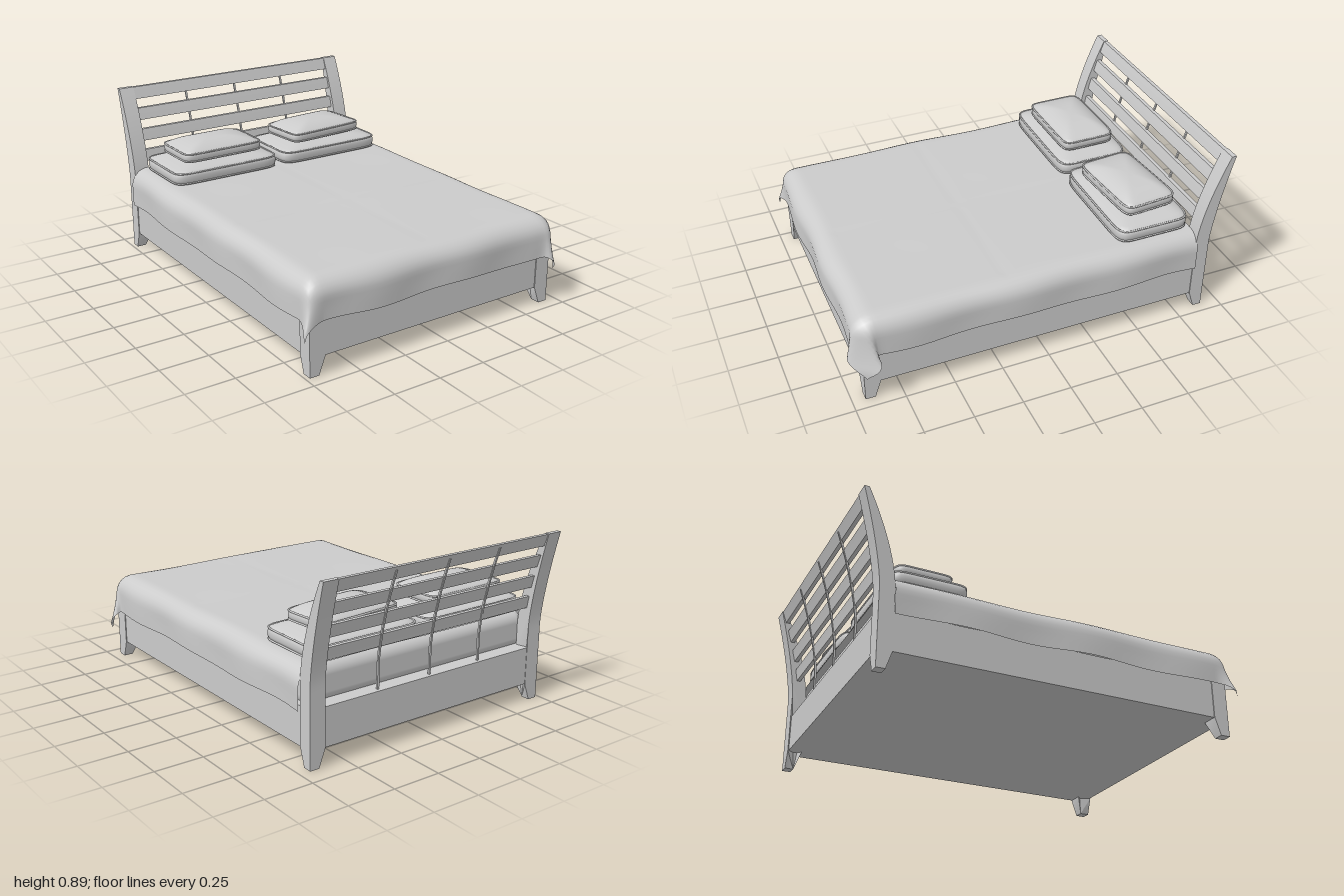
import * as THREE from 'three';
import { mergeVertices, toCreasedNormals } from 'three/addons/utils/BufferGeometryUtils.js';
import { RoundedBoxGeometry } from 'three/addons/geometries/RoundedBoxGeometry.js';

const wood = new THREE.MeshStandardMaterial({ color: 0xcccccc });
const cloth = new THREE.MeshStandardMaterial({ color: 0xcccccc, side: THREE.DoubleSide });
const X0 = -0.73, X1 = 0.695, MID = -0.0175, POST = 0.083;

function add(parent, name, geometry, material) {
  const mesh = new THREE.Mesh(geometry, material);
  mesh.name = name;
  parent.add(mesh);
  return mesh;
}

// Extrudes a [z, y] side profile from xa to xb
function sideExtrude(points, xa, xb) {
  const shape = new THREE.Shape(points.map(([z, y]) => new THREE.Vector2(z, y)));
  const g = new THREE.ExtrudeGeometry(shape, { depth: xb - xa, bevelEnabled: false });
  g.rotateY(-Math.PI / 2);
  g.translate(xb, 0, 0);
  return g;
}

// Smooth surface from a grid of points; fn(row, column) returns [x, y, z]
function gridSurface(rows, cols, fn) {
  const pos = [], index = [];
  for (let i = 0; i <= rows; i++) {
    for (let j = 0; j <= cols; j++) {
      pos.push(...fn(i, j));
      if (i === rows || j === cols) continue;
      const a = i * (cols + 1) + j, b = a + cols + 1;
      index.push(a, b, a + 1, a + 1, b, b + 1);
    }
  }
  let g = new THREE.BufferGeometry();
  g.setAttribute('position', new THREE.Float32BufferAttribute(pos, 3));
  g.setIndex(index);
  g = mergeVertices(g, 1e-5);
  g.computeVertexNormals();
  return g;
}

// Backward sweep of the headboard
const sweep = (y) => Math.max(0, (y - 0.4) / 0.495);
const backZ = (y) => -0.905 - 0.095 * sweep(y) ** 1.4;
const frontZ = (y) => -0.83 - 0.145 * sweep(y) ** 1.6;
const midZ = (y) => (backZ(y) + frontZ(y)) / 2;

function band(y0, y1, n, zFront, zBack) {
  const ys = Array.from({ length: n + 1 }, (_, i) => y0 + (y1 - y0) * i / n);
  return [...ys.map((y) => [zFront(y), y]), ...ys.reverse().map((y) => [zBack(y), y])];
}

// Leg or post whose foot also tapers inwards across x
function addLeg(parent, name, profile, side) {
  const xa = side < 0 ? X0 : X1 - POST;
  const g = sideExtrude(profile, xa, xa + POST);
  const p = g.attributes.position, inner = side < 0 ? xa + POST : xa;
  for (let i = 0; i < p.count; i++) {
    if (p.getY(i) < 0.01 && Math.abs(p.getX(i) - inner) < 0.001) p.setX(i, inner + side * 0.033);
  }
  g.computeVertexNormals();
  add(parent, name, toCreasedNormals(g, 0.4), wood);
}

function buildFrame() {
  const frame = new THREE.Group();
  frame.name = 'frame';
  const post = [[-0.905, 0], [-0.86, 0], ...band(0.09, 0.895, 24, frontZ, backZ)];
  const frontLeg = [[0.885, 0], [0.935, 0], [0.935, 0.09], [0.935, 0.29], [0.855, 0.29], [0.855, 0.09]];
  for (const side of [-1, 1]) {
    const word = side < 0 ? 'right' : 'left';
    addLeg(frame, word + 'HeadPost', post, side);
    addLeg(frame, word + 'FrontLeg', frontLeg, side);
  }
  const base = new THREE.BoxGeometry(X1 - X0 - 0.008, 0.195, 1.83);
  add(frame, 'base', base, wood).position.set(MID, 0.1875, 0.016);

  // Headboard slats and the thin rods behind them
  for (let i = 0; i < 4; i++) {
    const top = 0.893 - i * 0.112;
    const g = sideExtrude(band(top - 0.063, top, 5, (y) => midZ(y) + 0.01, (y) => midZ(y) - 0.01),
      X0 + POST, X1 - POST);
    add(frame, 'headboardSlat', toCreasedNormals(g, 0.4), wood);
  }
  for (const x of [-0.33, MID, 0.295]) {
    const g = sideExtrude(band(0.28, 0.875, 20, (y) => midZ(y) - 0.004, (y) => midZ(y) - 0.014),
      x - 0.005, x + 0.005);
    add(frame, 'headboardRod', toCreasedNormals(g, 0.4), wood);
  }
  return frame;
}

// Blanket: a flat sheet folded over the mattress edges, with draped front corners
function blanketGeometry() {
  const XL = -0.66, XR = 0.62, ZB = -0.835, ZF = 0.86, HANG = 0.26, TOP = 0.466, ROLL = 0.15;
  const rows = 84, cols = 72;
  const bell = (t, c, w) => Math.exp(-(((t - c) / w) ** 2));
  return gridSurface(rows, cols, (i, j) => {
    const a = XL - HANG + (XR - XL + 2 * HANG) * j / cols;
    const b = ZB + (ZF + HANG - ZB) * i / rows;
    const sx = a < MID ? -1 : 1;
    const ex = Math.max(0, XL - a, a - XR), ez = Math.max(0, b - ZF);
    const r = Math.hypot(ex, ez), th = Math.atan2(ez, ex);
    const t = Math.min(1, r / ROLL), hang = Math.max(0, r - ROLL);
    const arc = t * Math.PI / 2;
    let dx = 0.09 * Math.sin(arc) * Math.cos(th);
    let dz = 0.1 * Math.sin(arc) * Math.sin(th);
    let y = TOP - 0.09 * (1 - Math.cos(arc)) - hang;
    const k = Math.min(1, r / 0.33) ** 2;
    if (ex > 0 && ez > 0) {
      if (sx > 0) {
        // two lobes with a fold between them
        dx += 0.085 * k * bell(th, 0.5, 0.3) + 0.02 * k * bell(th, 0.8, 0.3);
        dz += 0.06 * k * bell(th, 1.1, 0.3) - 0.05 * k * bell(th, 0.45, 0.3);
      } else {
        // one pointed corner
        const p = k * Math.sin(2 * th) ** 2;
        dx += 0.055 * p;
        dz += 0.03 * p;
        y += 0.045 * p;
      }
    }
    // soft creases in the hanging cloth and stitched seams
    const wave = Math.sin(a * 9 + 1) * Math.min(ez, 0.2) + Math.sin(b * 8) * Math.min(ex, 0.2);
    y += 0.03 * wave + 0.002 * Math.sin(a * 7) * Math.sin(b * 6);
    dx += ex > 0 ? 0.035 * Math.sin(b * 11) * Math.min(ex, 0.2) : 0;
    dz += 0.04 * Math.sin(a * 12) * Math.min(ez, 0.2);
    y -= 0.003 * Math.max(bell(a, -0.01, 0.012), bell(b, 0.18, 0.012)) * (r > 0 ? 0 : 1);
    return [Math.min(XR, Math.max(XL, a)) + sx * dx, y, Math.min(b, ZF) + dz];
  });
}

// Pillow: rounded rectangular rings, upright border with piping, domed top
function makePillow(name, w, d, border, dome) {
  const group = new THREE.Group();
  group.name = name;
  const N = 96;
  const outline = (s, y, q) => {
    const c = Math.cos(q), n = Math.sin(q);
    const rad = s / (Math.abs(c) ** 9 + Math.abs(n) ** 9) ** (1 / 9);
    return [c * rad * w / 2, y, n * rad * d / 2];
  };
  const profile = [[0, 0], [0.5, 0], [0.92, 0.003], [0.975, border * 0.15], [0.995, border * 0.4],
    [0.995, border * 0.65], [0.98, border * 0.9]];
  for (let i = 1; i <= 10; i++) {
    const s = 0.98 * (1 - i / 10);
    profile.push([s, border * 0.9 + (dome + border * 0.1) * (1 - (s / 0.98) ** 2.6)]);
  }
  add(group, 'cushion', gridSurface(profile.length - 1, N, (i, j) =>
    outline(...profile[i], (j % N) / N * Math.PI * 2)), cloth);
  for (const y of [border * 0.15, border * 0.9]) {
    const pts = Array.from({ length: N }, (_, j) =>
      new THREE.Vector3(...outline(0.98, y, j / N * Math.PI * 2)));
    const curve = new THREE.CatmullRomCurve3(pts, true);
    add(group, 'piping', new THREE.TubeGeometry(curve, 120, 0.005, 6, true), cloth);
  }
  return group;
}

export function createModel() {
  const bed = new THREE.Group();
  bed.name = 'bed';
  bed.add(buildFrame());
  const mattress = new RoundedBoxGeometry(1.37, 0.2, 1.74, 5, 0.06);
  add(bed, 'mattress', mattress, wood).position.set(MID, 0.358, 0.04);
  add(bed, 'blanket', blanketGeometry(), cloth);

  // name, width, depth, border, dome, x, y, z, turn
  const pillows = [
    ['rightLargePillow', 0.63, 0.4, 0.075, 0.03, -0.355, 0.466, -0.63, 0],
    ['leftLargePillow', 0.63, 0.4, 0.075, 0.03, 0.312, 0.466, -0.63, 0],
    ['rightSmallPillow', 0.475, 0.3, 0.055, 0.038, -0.352, 0.568, -0.63, 0.01],
    ['leftSmallPillow', 0.47, 0.295, 0.055, 0.038, 0.308, 0.568, -0.63, 0.085],
  ];
  for (const [name, w, d, border, dome, x, y, z, turn] of pillows) {
    const pillow = makePillow(name, w, d, border, dome);
    pillow.position.set(x, y, z);
    pillow.rotation.y = turn;
    bed.add(pillow);
  }
  return bed;
}
